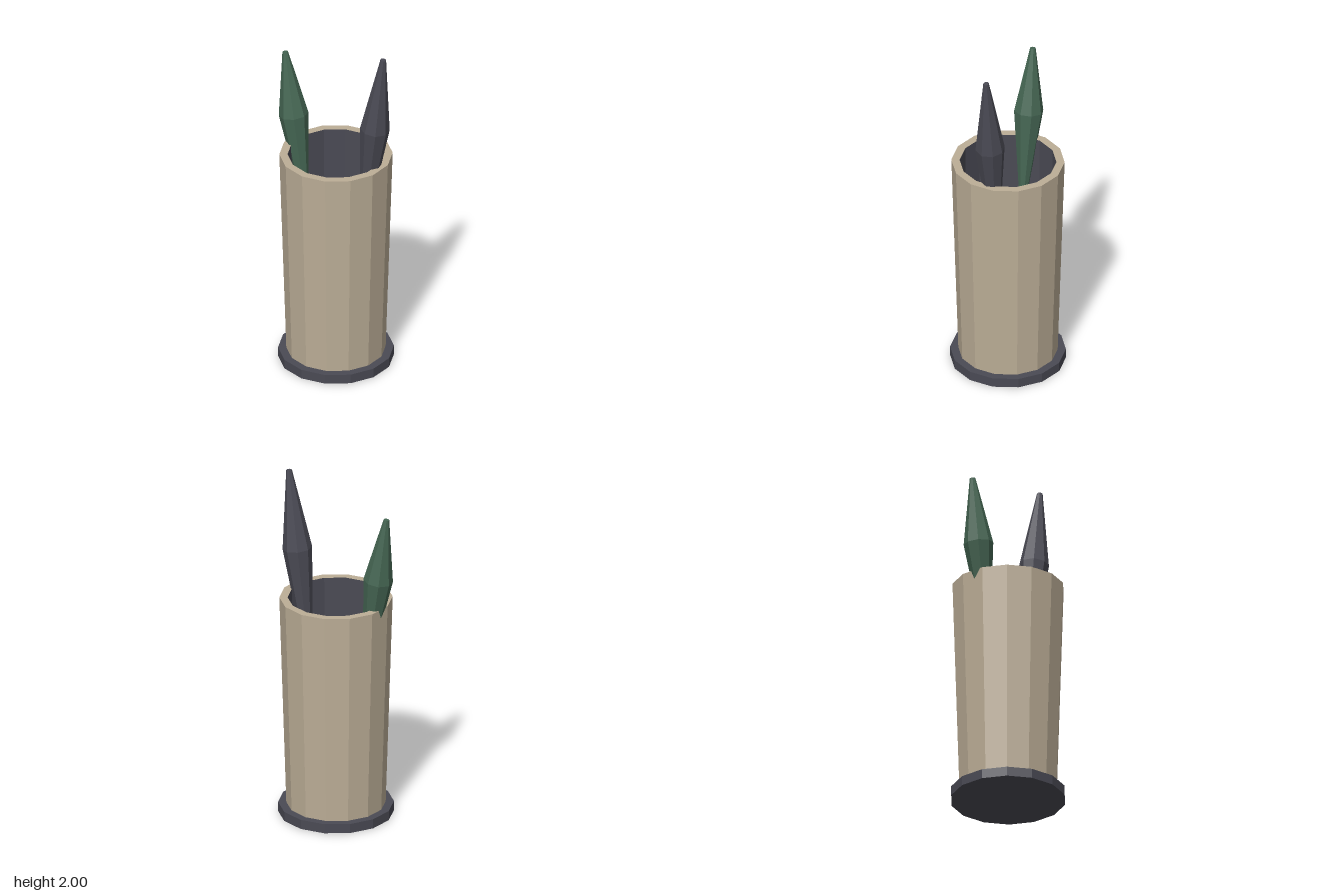
import * as THREE from 'three';

const dark = new THREE.MeshStandardMaterial({ color: 0x4a4a54, flatShading: true, name: 'charcoal' });
const beige = new THREE.MeshStandardMaterial({ color: 0xbcae97, flatShading: true, name: 'beige' });
const green = new THREE.MeshStandardMaterial({ color: 0x456653, flatShading: true, name: 'darkGreen' });

// Faceted solid of revolution from [radius, height] pairs
function lathe(name, profile, sides, phi, material) {
  const points = profile.map(([r, y]) => new THREE.Vector2(r, y));
  const mesh = new THREE.Mesh(new THREE.LatheGeometry(points, sides, phi), material);
  mesh.name = name;
  return mesh;
}

// Slim leaning stick: round shaft, flared head, pointed tip
function stick(name, bottom, tip, material) {
  const axis = tip.clone().sub(bottom);
  const length = axis.length();
  const profile = [
    [0, 0], [0.029, 0], [0.03, 0.47 * length], [0.083, 0.757 * length], [0.016, length], [0, length],
  ];
  const mesh = lathe(name, profile, 8, 0, material);
  mesh.quaternion.setFromUnitVectors(new THREE.Vector3(0, 1, 0), axis.normalize());
  mesh.position.copy(bottom);
  return mesh;
}

export function createModel() {
  const model = new THREE.Group();
  model.name = 'stickHolder';
  const sides = 14;
  const phi = Math.PI / 2;

  // Foot plate
  model.add(lathe('footPlate', [[0, 0], [0.323, 0], [0.323, 0.055], [0, 0.055]], sides, phi, dark));
  // Tapered outer wall and flat rim
  model.add(lathe('cupWall', [[0.277, 0.055], [0.316, 1.3], [0.27, 1.3]], sides, phi, beige));
  // Lining and inner floor
  model.add(lathe('cupLining', [[0.27, 1.3], [0.258, 0.08], [0, 0.08]], sides, phi, dark));

  // Two sticks leaning in opposite directions
  model.add(stick('darkStick', new THREE.Vector3(0.07, 0.1, 0.045), new THREE.Vector3(0.258, 2.0, 0.172), dark));
  model.add(stick('greenStick', new THREE.Vector3(-0.09, 0.28, -0.06), new THREE.Vector3(-0.277, 1.85, -0.192), green));
  return model;
}
